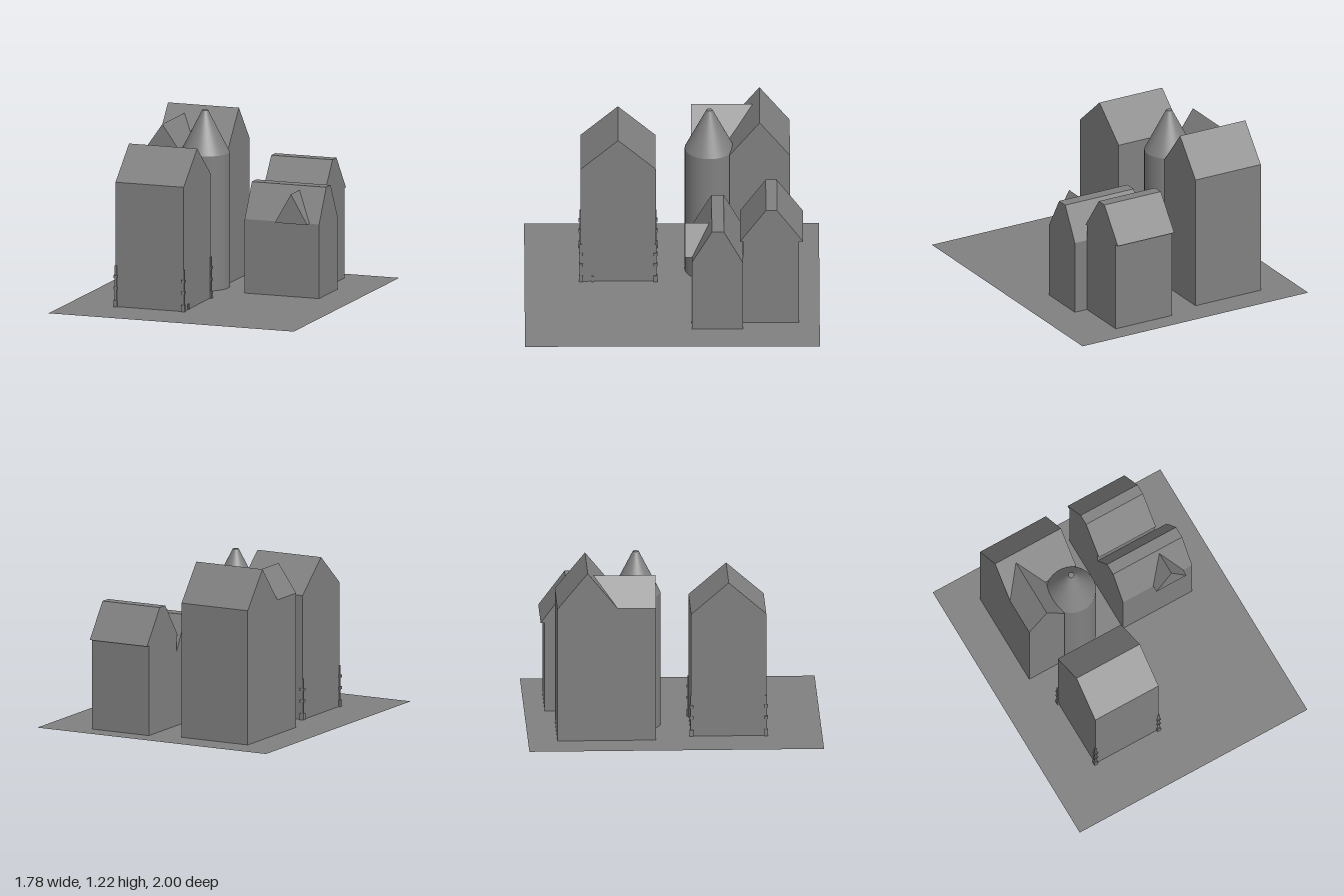
import * as THREE from 'three';

export function createModel() {
  const group = new THREE.Group();
  const stone = new THREE.MeshStandardMaterial({ color: 0x808080 });
  stone.name = 'grey stone';

  function add(name, geometry, parent = group) {
    const mesh = new THREE.Mesh(geometry, stone);
    mesh.name = name;
    parent.add(mesh);
    return mesh;
  }

  function extrude(points, depth) {
    const shape = new THREE.Shape(points.map(([a, b]) => new THREE.Vector2(a, b)));
    return new THREE.ExtrudeGeometry(shape, { depth, bevelEnabled: false });
  }

  // Profile given as [z, y], swept from x0 to x1
  const alongX = (points, x0, x1) =>
    extrude(points.map(([z, y]) => [-z, y]), x1 - x0).rotateY(Math.PI / 2).translate(x0, 0, 0);

  // Profile given as [x, y], swept from z0 to z1
  const alongZ = (points, z0, z1) => extrude(points, z1 - z0).translate(0, 0, z0);

  function box(x0, x1, y0, y1, z0, z1) {
    return new THREE.BoxGeometry(x1 - x0, y1 - y0, z1 - z0)
      .translate((x0 + x1) / 2, (y0 + y1) / 2, (z0 + z1) / 2);
  }

  // Ground sheet
  const ground = add('ground', new THREE.PlaneGeometry(1.78, 2).rotateX(-Math.PI / 2));
  ground.material = stone.clone();
  ground.material.name = 'grey ground';
  ground.material.side = THREE.DoubleSide;

  // Tall gabled house at the front
  const frontHouse = new THREE.Group();
  frontHouse.name = 'frontHouse';
  group.add(frontHouse);
  add('frontHouseBody', alongX(
    [[0.62, 0], [0.62, 0.86], [0.365, 1.08], [0.11, 0.86], [0.11, 0]], -0.55, -0.055), frontHouse);

  // Corner stones: a slim strip with wider blocks on each corner
  for (const [cx, sx] of [[-0.55, -1], [-0.055, 1]]) {
    for (const [cz, sz] of [[0.11, -1], [0.62, 1]]) {
      const corner = (name, y0, y1, inner, outer) => {
        const xs = [cx - sx * inner, cx + sx * outer].sort((a, b) => a - b);
        const zs = [cz - sz * inner, cz + sz * outer].sort((a, b) => a - b);
        add(name, box(...xs, y0, y1, ...zs), frontHouse);
      };
      corner('cornerStrip', 0, 0.285, 0.01, 0.006);
      for (const y of [0, 0.12, 0.2]) corner('cornerBlock', y, y + (y ? 0.018 : 0.045), 0.016, 0.012);
    }
  }
  add('baseBlock', box(-0.06, -0.047, 0, 0.04, 0.53, 0.545), frontHouse);

  // Manor at the back left with a gabled wing
  add('manorBody', alongX(
    [[-0.39, 0], [-0.39, 0.93], [-0.595, 1.18], [-0.8, 0.93], [-0.8, 0]], -0.635, -0.12));
  add('manorWing', alongZ(
    [[-0.635, 0], [-0.36, 0], [-0.36, 0.93], [-0.498, 1.125], [-0.635, 0.93]], -0.55, -0.13));

  // Round tower
  add('towerWall', new THREE.CylinderGeometry(0.168, 0.168, 0.93, 48, 1, true)
    .translate(-0.235, 0.465, -0.255));
  add('towerRoof', new THREE.CylinderGeometry(0.02, 0.168, 0.29, 48)
    .translate(-0.235, 1.075, -0.255));

  // House at the back right, with overhanging eaves and a flattened ridge
  add('backHouseWalls', box(0.1, 0.545, 0, 0.625, -0.86, -0.48));
  add('backHouseRoof', alongX(
    [[-0.46, 0.622], [-0.635, 0.86], [-0.71, 0.86], [-0.888, 0.622]], 0.1, 0.545));

  // Low house at the front right with a dormer
  add('lowHouseWalls', box(0.1, 0.64, 0, 0.512, -0.478, -0.132));
  add('lowHouseRoof', alongX(
    [[-0.132, 0.512], [-0.268, 0.745], [-0.35, 0.745], [-0.478, 0.512]], 0.1, 0.64));
  add('dormer', alongZ([[0.335, 0.512], [0.57, 0.512], [0.4525, 0.716]], -0.25, -0.087));

  return group;
}
